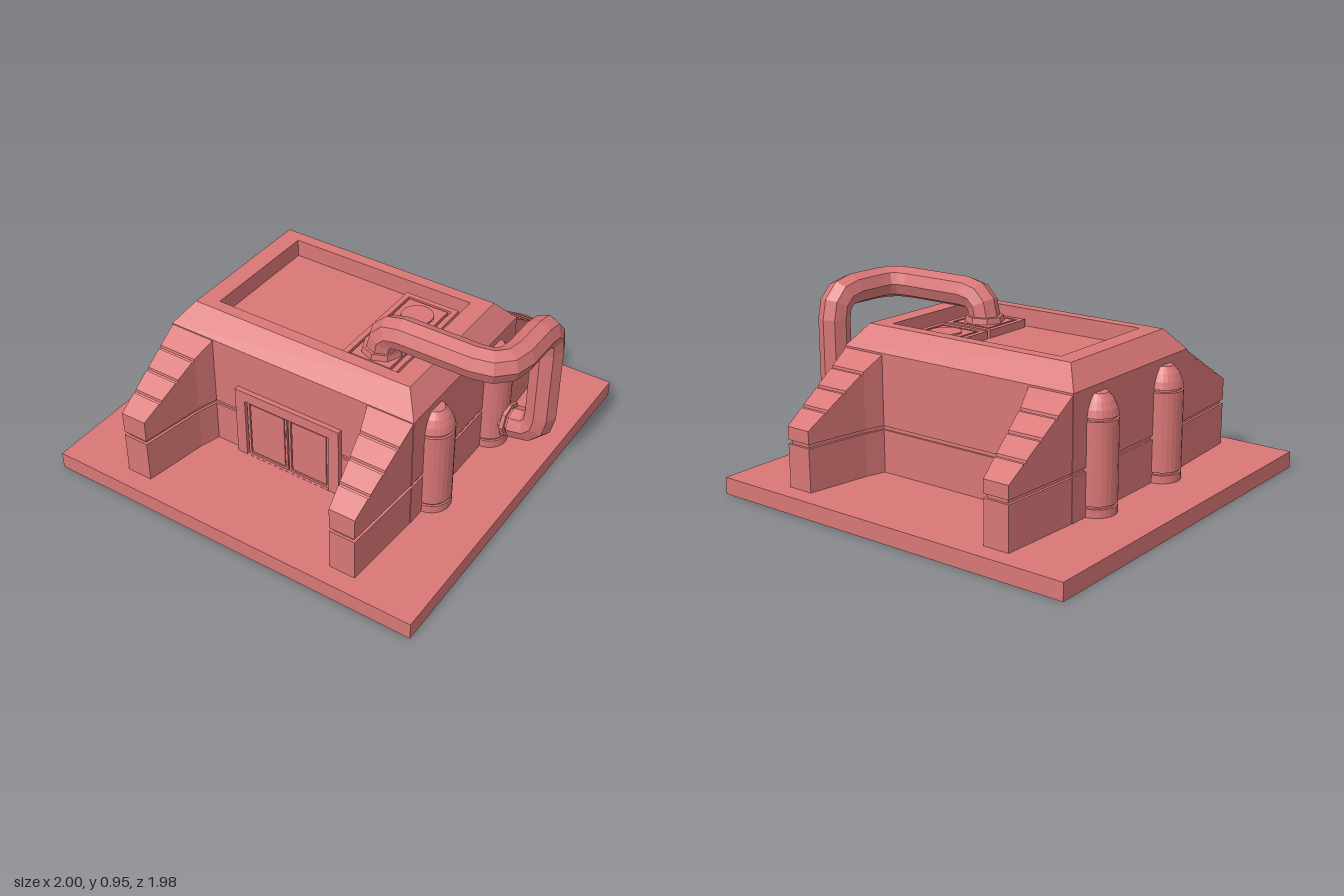
import * as THREE from 'three';

const material = new THREE.MeshStandardMaterial({ color: 0xd87676, flatShading: true });
const smooth = new THREE.MeshStandardMaterial({ color: 0xd87676 });
const CX = -0.01; // centre line of the building
const GROUND = 0.085;

// Joins four-cornered sections into a closed, flat-shaded solid.
function loft(sections) {
  const out = [];
  const quad = (a, b, c, d) => [a, b, c, a, c, d].forEach((p) => out.push(...p));
  for (let i = 0; i < sections.length - 1; i++) {
    const s = sections[i], t = sections[i + 1];
    for (let j = 0; j < 4; j++) {
      const k = (j + 1) % 4;
      quad(s[j], s[k], t[k], t[j]);
    }
  }
  quad(...[...sections[0]].reverse());
  quad(...sections[sections.length - 1]);
  const g = new THREE.BufferGeometry();
  g.setAttribute('position', new THREE.Float32BufferAttribute(out, 3));
  g.computeVertexNormals();
  return g;
}

// Horizontal rectangle given by half sizes and height.
const ring = (hx, hz, y) => [[hx, y, hz], [hx, y, -hz], [-hx, y, -hz], [-hx, y, hz]];

// Rectangular frame extruded along z, lying between two rectangles.
function frame(x0, x1, y0, y1, border, bottom, depth) {
  const s = new THREE.Shape([[x0, y0], [x1, y0], [x1, y1], [x0, y1]].map((p) => new THREE.Vector2(...p)));
  const a = x0 + border, b = x1 - border, c = y0 + bottom, d = y1 - border;
  s.holes.push(new THREE.Path([[a, c], [a, d], [b, d], [b, c]].map((p) => new THREE.Vector2(...p))));
  return new THREE.ExtrudeGeometry(s, { depth, bevelEnabled: false });
}

// Tapering sloped wall piece; sx and sz choose the corner.
function buttress(sx, sz, zs, bottom, top, inset = 0) {
  return loft(zs.map((z) => {
    const inner = z < 0.57 ? 0.43 + (0.46 - 0.43) * (z - 0.47) / 0.1 : 0.46 + 0.052 * (z - 0.57) / 0.325;
    const a = inner + inset;
    const b = 0.668 - 0.023 * (z - 0.46) / 0.435 - inset;
    const zz = z - (z > 0.8 ? inset : 0), t = top(z);
    const pts = [[b, bottom], [b, t], [a, t], [a, bottom]].map(([x, y]) => [CX + sx * x, y, sz * zz]);
    return sx * sz < 0 ? pts.reverse() : pts;
  }));
}

// Path through a list of points, with straight runs between them.
class PointPath extends THREE.Curve {
  constructor(points) {
    super();
    this.points = points;
  }
  getPointAt(u, target = new THREE.Vector3()) {
    return target.copy(this.points[Math.round(u * (this.points.length - 1))]);
  }
  getTangentAt(u, target = new THREE.Vector3()) {
    const p = this.points, n = p.length - 1, i = Math.round(u * n);
    const before = p[Math.max(i - 1, 0)], after = p[Math.min(i + 1, n)];
    const d = i > 0 ? p[i].clone().sub(before).normalize() : new THREE.Vector3();
    if (i < n) d.add(after.clone().sub(p[i]).normalize());
    return target.copy(d.normalize());
  }
}

// Rounds each corner of a path with a few short segments.
function roundCorners(corners, radii) {
  const pts = [corners[0]];
  for (let i = 1; i < corners.length - 1; i++) {
    const c = corners[i], r = radii[i - 1];
    const a = c.clone().add(corners[i - 1].clone().sub(c).setLength(r));
    const b = c.clone().add(corners[i + 1].clone().sub(c).setLength(r));
    pts.push(...new THREE.QuadraticBezierCurve3(a, c, b).getPoints(3));
  }
  pts.push(corners[corners.length - 1]);
  return pts;
}

export function createModel() {
  const model = new THREE.Group();
  model.name = 'bunker';
  const add = (name, geometry, x = 0, y = 0, z = 0, mat = material) => {
    const m = new THREE.Mesh(geometry, mat);
    m.name = name;
    m.position.set(x, y, z);
    model.add(m);
    return m;
  };
  const box = (name, w, h, d, x, y, z) => add(name, new THREE.BoxGeometry(w, h, d), x, y, z);

  // Ground slab
  box('baseSlab', 1.98, GROUND, 1.98, CX, GROUND / 2, 0);

  // Main body with a seam, chamfered shoulders and a sunken roof
  add('body', loft([
    ring(0.67, 0.472, GROUND), ring(0.67, 0.472, 0.3), ring(0.66, 0.462, 0.3),
    ring(0.66, 0.462, 0.32), ring(0.67, 0.472, 0.32), ring(0.67, 0.472, 0.68),
    ring(0.59, 0.38, 0.785), ring(0.495, 0.32, 0.785), ring(0.495, 0.32, 0.695),
  ]), CX, 0, -0.002);

  // Corner buttresses: block, recessed seam, sloped top with cross grooves
  const grooves = [0.58, 0.685, 0.79];
  const slopeZ = [0.46, ...grooves.flatMap((g) => [g - 0.008, g - 0.005, g + 0.005, g + 0.008]), 0.895];
  for (const sx of [-1, 1]) for (const sz of [-1, 1]) {
    const end = sz > 0 ? 0.43 : 0.385;
    const slope = (z) => 0.68 + (end - 0.68) * (z - 0.46) / 0.435
      - (grooves.some((g) => Math.abs(z - g) < 0.006) ? 0.01 : 0);
    const zs = [0.46, 0.57, 0.895];
    add('buttressBlock', buttress(sx, sz, zs, GROUND, () => 0.3));
    add('buttressSeam', buttress(sx, sz, zs, 0.295, () => 0.325, 0.013));
    add('buttressSlope', buttress(sx, sz, slopeZ, 0.32, slope));
  }

  // Domed tanks half sunk into the side walls
  const profile = [
    [0, 0], [0.097, 0], [0.097, 0.04], [0.088, 0.042], [0.088, 0.05], [0.097, 0.053],
    [0.097, 0.445], [0.088, 0.448], [0.088, 0.457], [0.097, 0.46],
    [0.088, 0.495], [0.071, 0.53], [0.045, 0.56], [0, 0.56],
  ].map((p) => new THREE.Vector2(...p));
  // Doubled profile corners are not needed: flat bands suit the stepped outline
  for (const x of [-0.673, 0.655]) for (const z of [-0.275, 0.275]) {
    add('sideTank', new THREE.LatheGeometry(profile, 24), x, GROUND, z);
  }

  // Entrance: surround, two framed doors and a handle
  add('doorSurround', frame(-0.303, 0.283, GROUND, 0.465, 0.055, 0.001, 0.045), 0, 0, 0.45);
  box('doorBacking', 0.49, 0.33, 0.02, CX, GROUND + 0.165, 0.464);
  for (const [x0, x1] of [[-0.243, -0.014], [-0.006, 0.223]]) {
    add('doorFrame', frame(x0, x1, GROUND, 0.41, 0.013, 0.013, 0.013), 0, 0, 0.47);
    box('doorPanel', x1 - x0 - 0.036, 0.289, 0.008, (x0 + x1) / 2, (GROUND + 0.41) / 2, 0.477);
  }
  box('doorHandle', 0.008, 0.035, 0.008, -0.018, 0.312, 0.486);

  // Two square vents on the roof, each a stepped tray with a round collar
  for (const z of [-0.153, 0.153]) {
    add('roofVent', loft([
      ring(0.143, 0.143, 0.69), ring(0.143, 0.143, 0.735), ring(0.116, 0.116, 0.735),
      ring(0.116, 0.116, 0.72), ring(0.104, 0.104, 0.72), ring(0.104, 0.104, 0.735),
    ]), 0.298, 0, z);
    add('ventCollar', new THREE.CylinderGeometry(0.078, 0.078, 0.012, 24), 0.298, 0.738, z, smooth);
  }
  add('pipeSocket', new THREE.CylinderGeometry(0.095, 0.1, 0.03, 8), 0.3, 0.75, 0.153);

  // Octagonal pipe from the roof vent over the edge and down to the rear tank
  const corners = [
    [0.303, 0.735, 0.155], [0.303, 0.867, 0.155], [0.918, 0.867, 0.155],
    [0.918, 0.867, -0.282], [0.918, 0.228, -0.282], [0.78, 0.228, -0.282],
  ].map((p) => new THREE.Vector3(...p));
  const points = roundCorners(corners, [0.11, 0.14, 0.13, 0.12]);
  add('pipe', new THREE.TubeGeometry(new PointPath(points), points.length - 1, 0.08, 8));

  // Coupling between the pipe and the tank
  const disc = (name, r, length, x) => {
    add(name, new THREE.CylinderGeometry(r, r, length, 8), x, 0.228, -0.282).rotation.z = Math.PI / 2;
  };
  disc('couplingFlange', 0.088, 0.02, 0.757);
  disc('couplingNeck', 0.068, 0.14, 0.75);
  disc('pipeEnd', 0.079, 0.01, 0.784);
  return model;
}
